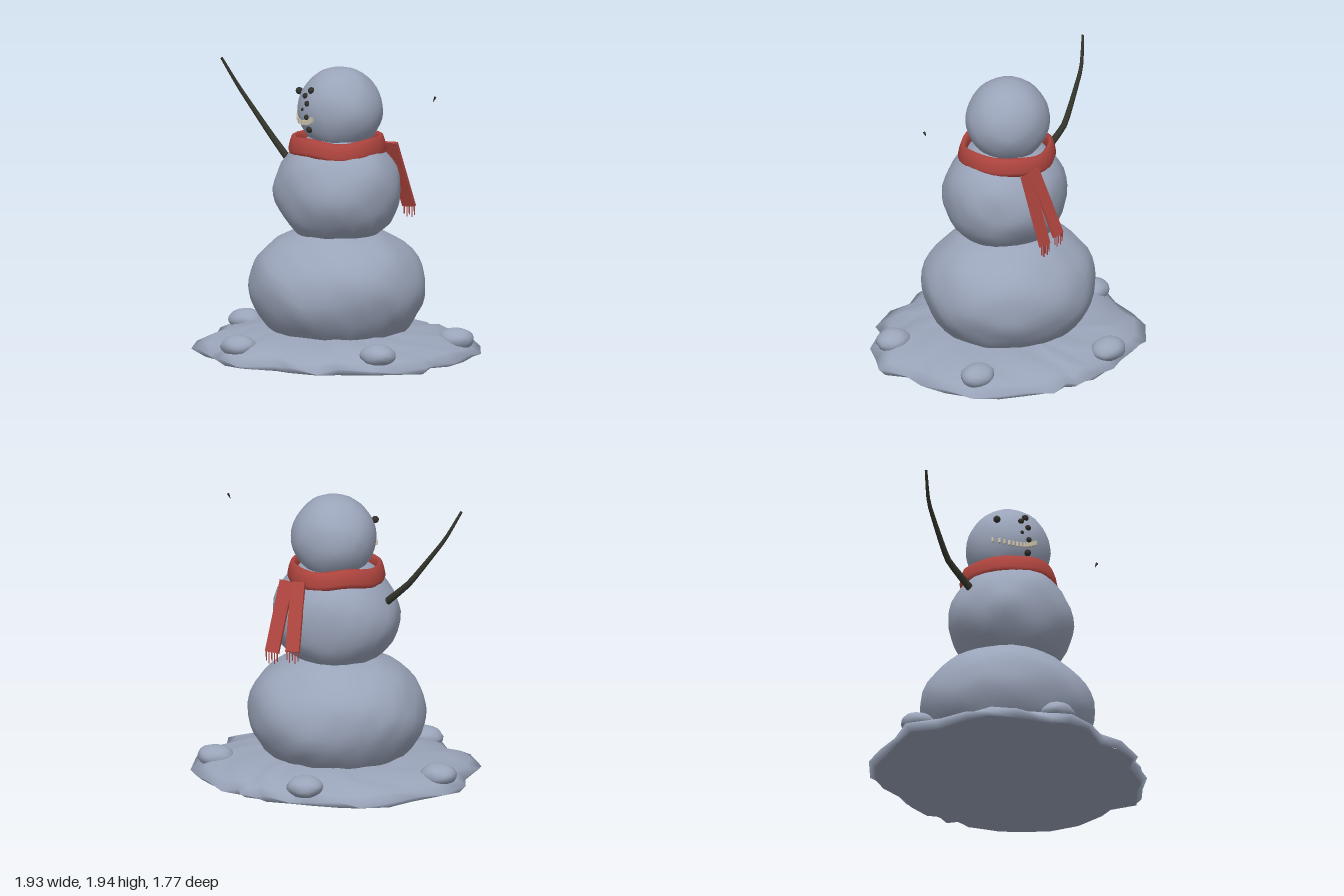
import * as THREE from 'three';
import { mergeVertices } from 'three/addons/utils/BufferGeometryUtils.js';

const mat = (name, color, side = THREE.FrontSide) => {
  const m = new THREE.MeshStandardMaterial({ color, side });
  m.name = name;
  return m;
};

// Shared vertices give smooth normals over a coarse surface
function smooth(geometry) {
  geometry.deleteAttribute('uv');
  geometry.deleteAttribute('normal');
  const g = mergeVertices(geometry, 1e-4);
  g.computeVertexNormals();
  return g;
}

// Lumpy ball of packed snow
function snowball(radii, amount, seed, detail) {
  const g = new THREE.IcosahedronGeometry(1, detail);
  const p = g.attributes.position;
  const v = new THREE.Vector3();
  for (let i = 0; i < p.count; i++) {
    v.fromBufferAttribute(p, i);
    const n = Math.sin(5 * v.x + seed) * Math.sin(4.5 * v.y + 2 * seed)
      + 0.6 * Math.sin(8 * v.z + 3 * v.x + seed) * Math.cos(7 * v.y - seed)
      + 0.4 * Math.sin(13 * v.x - 11 * v.z + 9 * v.y);
    v.multiplyScalar(1 + amount * n).multiply(radii);
    p.setXYZ(i, v.x, v.y, v.z);
  }
  return smooth(g);
}

// Rings scaled from one outline: each ring is [scale, height, roughness]
function outlineLoft(outline, rings) {
  const n = outline.length, pos = [], index = [];
  rings.forEach(([s, y, rough], k) => outline.forEach(([x, z], i) => {
    pos.push(x * s, y + rough * Math.sin(i * 2.3 + k * 1.7), z * s);
    if (k === rings.length - 1) return;
    const j = (i + 1) % n, a = k * n + i, b = k * n + j;
    index.push(a, b, a + n, b, b + n, a + n);
  }));
  const g = new THREE.BufferGeometry();
  g.setAttribute('position', new THREE.Float32BufferAttribute(pos, 3));
  g.setIndex(index);
  g.computeVertexNormals();
  return g;
}

// Branch that narrows along its path
function taperedTube(points, r0, r1) {
  const curve = new THREE.CatmullRomCurve3(points.map(p => new THREE.Vector3(...p)), false, 'catmullrom', 0.2);
  const steps = 14, sides = 7;
  const g = new THREE.TubeGeometry(curve, steps, 1, sides, false);
  const p = g.attributes.position, v = new THREE.Vector3();
  for (let i = 0; i < p.count; i++) {
    const t = Math.floor(i / (sides + 1)) / steps;
    const c = curve.getPointAt(t);
    v.fromBufferAttribute(p, i).sub(c).multiplyScalar(r0 + (r1 - r0) * t).add(c);
    p.setXYZ(i, v.x, v.y, v.z);
  }
  return smooth(g);
}

export function createModel() {
  const model = new THREE.Group();
  const snow = mat('snow', 0x9aa4b9);
  const red = mat('scarf red', 0xb0453f);
  const bark = mat('dark bark', 0x33342b, THREE.DoubleSide);
  const coal = mat('coal', 0x31302d);
  const ivory = mat('ivory', 0xcfc6ae);

  const add = (name, geometry, material, x = 0, y = 0, z = 0, parent = model) => {
    const m = new THREE.Mesh(geometry, material);
    m.name = name;
    m.position.set(x, y, z);
    parent.add(m);
    return m;
  };

  // Ragged snow patch
  const outline = [
    [-0.97, -0.1], [-0.89, -0.26], [-0.77, -0.49], [-0.68, -0.66], [-0.51, -0.79], [-0.38, -0.83],
    [-0.15, -0.845], [-0.02, -0.88], [0.16, -0.886], [0.24, -0.84], [0.34, -0.855], [0.38, -0.79],
    [0.51, -0.78], [0.68, -0.66], [0.81, -0.54], [0.91, -0.39], [0.96, -0.18], [0.955, 0],
    [0.9, 0.155], [0.96, 0.34], [0.79, 0.49], [0.705, 0.6], [0.47, 0.69], [0.37, 0.8],
    [0.16, 0.83], [0.03, 0.79], [-0.21, 0.88], [-0.37, 0.84], [-0.46, 0.75], [-0.54, 0.7],
    [-0.68, 0.62], [-0.82, 0.49], [-0.87, 0.34], [-0.885, 0.08],
  ];
  add('snowPatch', outlineLoft(outline, [
    [0.3, 0.18, 0], [0.55, 0.17, 0.006], [0.7, 0.15, 0.012], [0.82, 0.125, 0.014],
    [0.92, 0.085, 0.014], [1, 0.042, 0.018], [0.95, 0.008, 0.004],
  ]), snow);
  add('patchUnderside', outlineLoft(outline, [[0.96, 0.006, 0.004], [0.9, 0, 0], [0, 0, 0]]), snow);

  // Small heaps on the patch
  [[-0.1, -0.78], [0.755, -0.325], [0.64, 0.455], [-0.32, 0.68], [-0.79, -0.14]].forEach(([x, z], i) =>
    add('snowHeap', snowball(new THREE.Vector3(0.125, 0.075, 0.108), 0.03, i, 3), snow, x, 0.125, z));

  // Three stacked balls
  add('lowerBall', snowball(new THREE.Vector3(0.6, 0.435, 0.575), 0.018, 1.3, 7), snow, 0.005, 0.45, -0.03);
  add('middleBall', snowball(new THREE.Vector3(0.43, 0.39, 0.407), 0.018, 2.6, 6), snow, 0.02, 1.12, -0.012);
  add('head', snowball(new THREE.Vector3(0.287, 0.284, 0.276), 0.011, 4.1, 6), snow, 0.022, 1.655, -0.037);

  // Depth of the head's front at a given place
  const faceZ = (x, y) =>
    -0.037 + 0.276 * Math.sqrt(Math.max(0, 1 - ((x - 0.022) / 0.287) ** 2 - ((y - 1.655) / 0.284) ** 2));

  // Coal lumps on the face
  const lump = smooth(new THREE.IcosahedronGeometry(1, 1));
  [[-0.23, 1.77, 0.025, 0.075], [-0.065, 1.805, 0.024], [-0.11, 1.765, 0.021], [-0.075, 1.72, 0.021],
    [-0.12, 1.675, 0.013], [-0.075, 1.63, 0.02], [-0.065, 1.545, 0.024]].forEach(([x, y, r, z]) =>
    add('coalLump', lump, coal, x, y, z ?? faceZ(x, y)).scale.setScalar(r));

  // Curved row of teeth
  for (let i = 0; i < 12; i++) {
    const t = i / 11;
    const x = -0.247 + 0.222 * t;
    const y = 1.585 + 0.034 * (2 * t - 1) ** 2;
    const tooth = add('tooth', new THREE.BoxGeometry(0.015, 0.032, 0.022), ivory, x, y, faceZ(x, y) + 0.003);
    tooth.rotation.y = Math.atan2(x - 0.022, faceZ(x, y) + 0.037);
  }

  // Scarf collar with a gently waving edge
  const profile = [[0.285, 1.352], [0.318, 1.36], [0.328, 1.39], [0.318, 1.44], [0.305, 1.478], [0.29, 1.486],
    [0.272, 1.47], [0.265, 1.42], [0.285, 1.352]].map(p => new THREE.Vector2(...p));
  const collar = new THREE.LatheGeometry(profile, 36);
  const cp = collar.attributes.position;
  for (let i = 0; i < cp.count; i++) {
    const a = Math.atan2(cp.getZ(i), cp.getX(i));
    cp.setY(i, cp.getY(i) + 0.009 * Math.cos(3 * a + 0.6) + 0.006 * Math.sin(5 * a));
  }
  add('scarfCollar', smooth(collar), red, 0.01, 0, -0.022);

  // Two scarf tails with fringes, hanging behind
  [[0.145, 0.108, 0.965], [0.228, 0.258, 0.945]].forEach(([x0, x1, yEnd]) => {
    const top = new THREE.Vector3(x0, 1.4, -0.34);
    const end = new THREE.Vector3(x1, yEnd, -0.517);
    const up = top.clone().sub(end);
    const length = up.length();
    up.normalize();
    const out = new THREE.Vector3().crossVectors(new THREE.Vector3(1, 0, 0), up).normalize();
    const across = new THREE.Vector3().crossVectors(up, out);
    const tail = new THREE.Group();
    tail.name = 'scarfTail';
    tail.quaternion.setFromRotationMatrix(new THREE.Matrix4().makeBasis(across, up, out));
    tail.position.copy(top).add(end).multiplyScalar(0.5);
    model.add(tail);
    add('tailBand', new THREE.BoxGeometry(0.098, length, 0.022), red, 0, 0, 0, tail);
    for (let i = 0; i < 5; i++) {
      const long = 0.065 + 0.018 * (i % 2);
      add('fringe', new THREE.CylinderGeometry(0.005, 0.004, long, 5), red,
        x1 + (i - 2) * 0.02, yEnd - long / 2 + 0.006, -0.52 - 0.002 * (i % 2));
    }
  });

  // Branch arm
  add('rightArm', taperedTube([[-0.36, 1.24, -0.038], [-0.555, 1.41, -0.083], [-0.79, 1.72, -0.047],
    [-0.89, 1.915, 0.01]], 0.026, 0.009), bark);

  // Loose twig tip on the other side
  const twig = add('leftTwigTip', new THREE.ConeGeometry(0.009, 0.045, 5), bark, 0.826, 1.814, 0.055);
  twig.rotation.z = Math.PI - 0.5;

  return model;
}
